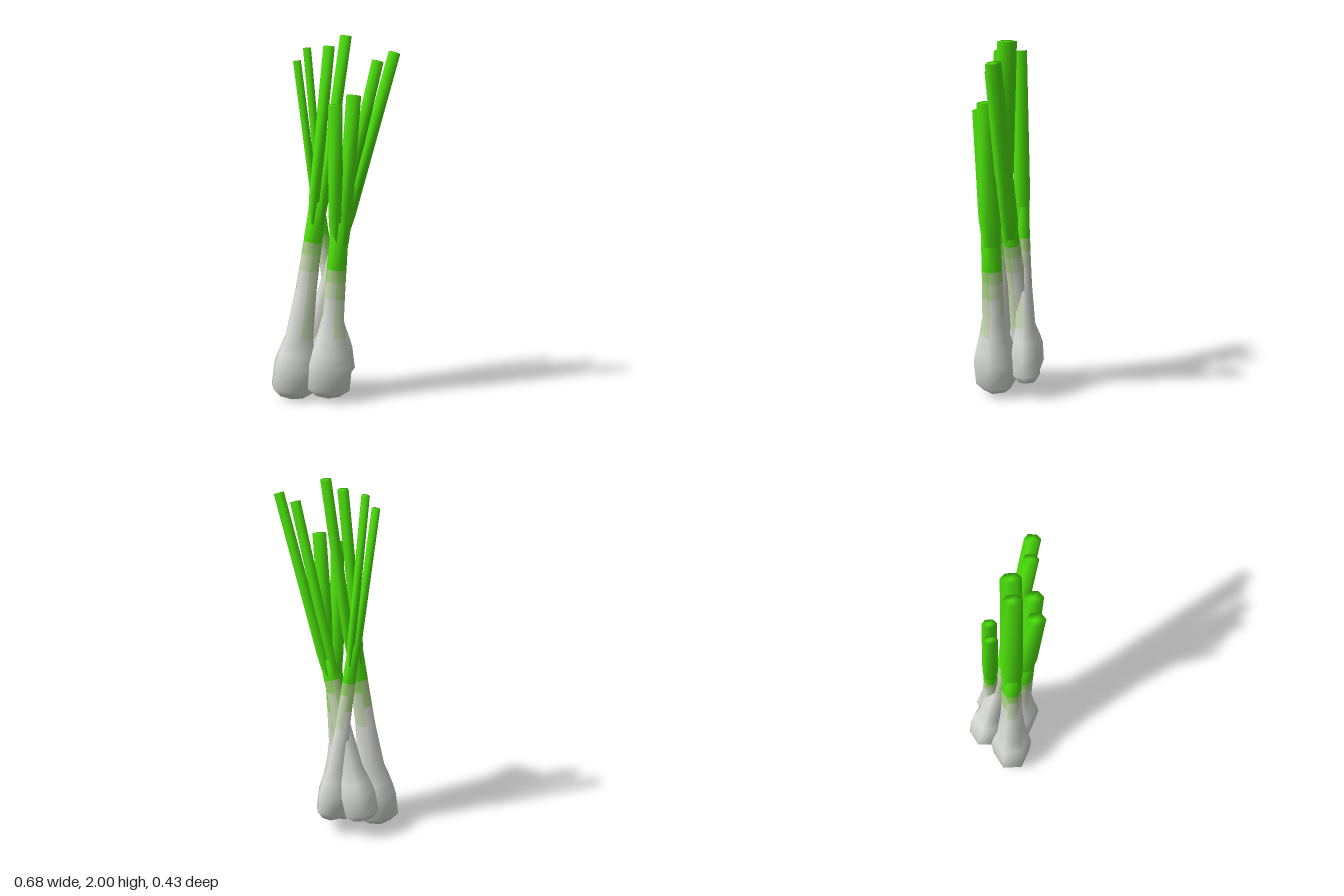
import * as THREE from 'three';

const mat = (name, color) => {
  const m = new THREE.MeshStandardMaterial({ color });
  m.name = name;
  return m;
};

const SIDES = 6;
const UP = new THREE.Vector3(0, 1, 0);

// Six-sided tube from rings of [height, half width in x, half depth in z]; pick(ring, side) chooses a material index
function tube(rings, pick = () => 0) {
  const pos = [], idx = [], g = new THREE.BufferGeometry();
  for (const [y, hx, hz] of rings) {
    for (let j = 0; j < SIDES; j++) {
      const a = (j / SIDES) * Math.PI * 2;
      pos.push(Math.sin(a) * hx, y, Math.cos(a) * hz);
    }
  }
  for (let i = 0; i < rings.length - 1; i++) {
    for (let j = 0; j < SIDES; j++) {
      const a = i * SIDES + j, b = i * SIDES + (j + 1) % SIDES;
      g.addGroup(idx.length, 6, pick(i, j));
      idx.push(a, b, b + SIDES, a, b + SIDES, a + SIDES);
    }
  }
  g.setAttribute('position', new THREE.Float32BufferAttribute(pos, 3));
  g.setIndex(idx);
  g.computeVertexNormals();
  return g;
}

// Group standing at start with its y axis aimed at end
function aimed(name, start, end) {
  const group = new THREE.Group();
  group.name = name;
  group.position.copy(start);
  group.quaternion.setFromUnitVectors(UP, end.clone().sub(start).normalize());
  return group;
}

function add(group, name, geometry, material) {
  const mesh = new THREE.Mesh(geometry, material);
  mesh.name = name;
  group.add(mesh);
}

export function createModel() {
  const model = new THREE.Group();
  model.name = 'springOnions';
  const white = mat('bulb white', 0xdcdfd9);
  const faint = mat('faint green', 0xcadbb5);
  const pale = mat('pale green', 0xb0d88a);
  const soft = mat('soft green', 0x98d868);
  const green = mat('leaf green', 0x4fe90c);
  const brown = mat('root brown', 0x8c6b56);
  const bands = [white, faint, pale, soft, green, brown];

  // base: foot of bulb; split: where leaves part; r, h: bulb width and height scale;
  // stem: stem radius; edge: height where full green begins; leaf: leaf half width and depth
  const onions = [
    { name: 'rightLargeOnion', base: [-0.235, 0.01, 0.03], split: [-0.08, 1.1, 0.036], r: 1, h: 1,
      stem: 0.056, edge: 0.88, leaf: [0.028, 0.053], tips: [[-0.022, 1.94, 0.036], [0.069, 1.995, 0.036]] },
    { name: 'frontOnion', base: [-0.037, 0.025, 0.077], split: [0.028, 1.0, 0.122], r: 1.03, h: 1,
      stem: 0.058, edge: 0.74, leaf: [0.036, 0.052], tips: [[-0.003, 1.63, 0.16], [0.096, 1.68, 0.155]] },
    { name: 'backLeaningOnion', base: [-0.125, 0.1, -0.132], split: [0.066, 1.0, 0.025], r: 0.85, h: 0.87,
      stem: 0.048, edge: 0.89, leaf: [0.028, 0.043], tips: [[0.225, 1.86, 0.145], [0.312, 1.905, 0.16]] },
    { name: 'backSmallOnion', base: [0.062, 0.09, -0.078], split: [-0.075, 1.12, -0.08], r: 0.69, h: 0.92,
      stem: 0.039, edge: 0.9, leaf: [0.02, 0.037], tips: [[-0.185, 1.86, -0.08], [-0.13, 1.93, -0.08]] },
  ];

  for (const o of onions) {
    const base = new THREE.Vector3(...o.base), split = new THREE.Vector3(...o.split);
    const onion = new THREE.Group();
    onion.name = o.name;
    model.add(onion);

    // Root end, bulb and stem in one tube, with the white fading to green in stepped bands
    const length = base.distanceTo(split);
    const e = (o.edge - o.base[1]) * length / (o.split[1] - o.base[1]);
    const s = o.stem;
    const bulb = [
      [0.002, 0, 0], [0, 0.054, 0.054], [0.002, 0.072, 0.07], [0.045, 0.128, 0.112],
      [0.18, 0.13, 0.121], [0.25, 0.112, 0.108], [0.34, 0.084, 0.084],
    ].map(([y, hx, hz]) => [y * o.h, hx * o.r, hz * o.r]);
    const stem = [[e - 0.27, 1.12], [e - 0.16, 1.06], [e - 0.07, 1.02], [e, 1], [length, 0.92], [length, 0]]
      .map(([y, k]) => [y, k * s, k * s]);
    const first = bulb.length - 1;
    const pick = (i, j) => {
      if (i === 0) return 5;
      if (i < first) return 0;
      if (i >= first + 4) return 4;
      if (i === first) return j === 0 ? 1 : 0;
      if (i === first + 1) return j % 2 ? 0 : 1;
      if (i === first + 2) return j % 3 ? 1 : 2;
      return j % 2 ? 2 : 3;
    };
    const body = aimed('bulbAndStem', base, split);
    add(body, 'stem', tube([...bulb, ...stem], pick), bands);
    onion.add(body);

    // Two flattened leaves parting from the stem, with softly shaded tips
    const hx = o.leaf[0] / 0.866, hz = o.leaf[1];
    o.tips.forEach((t, k) => {
      const tip = new THREE.Vector3(...t);
      const start = split.clone().add(new THREE.Vector3((k ? 1 : -1) * s * 0.42, 0, 0));
      const leaf = aimed(k ? 'leftLeaf' : 'rightLeaf', start, tip);
      const len = start.distanceTo(tip);
      const blade = [[-0.12, hx * 0.75, hz * 0.9], [0.04, hx, hz * 1.12], [len, hx, hz], [len, 0, 0]];
      add(leaf, 'blade', tube(blade), [green]);
      onion.add(leaf);
    });
  }
  return model;
}
